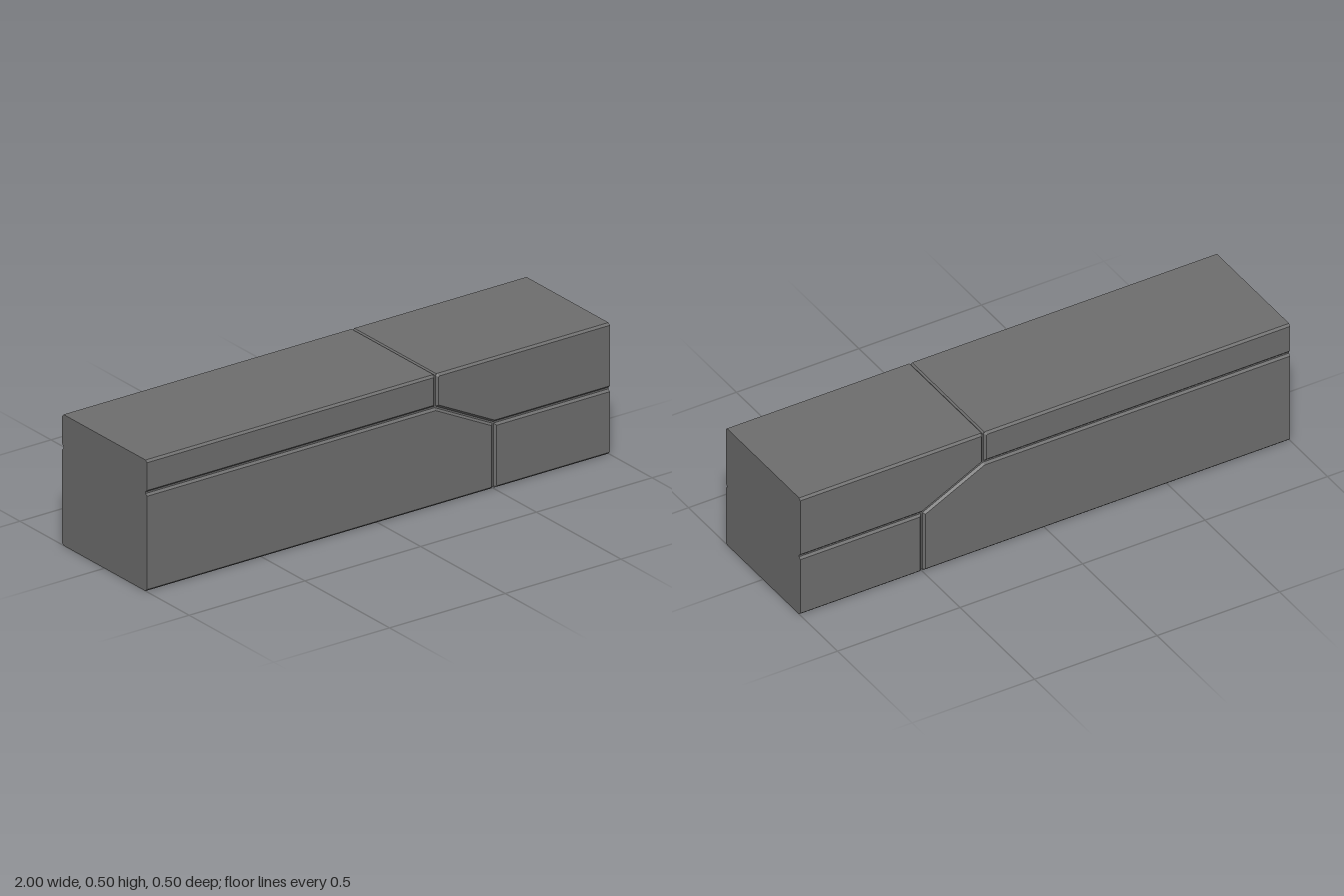
import * as THREE from 'three';

const DEPTH = 0.25;   // half thickness in z
const BEVEL = 0.008;  // chamfer and groove depth
const NICK = 0.006;   // cut where a seam crosses the top or bottom

// Moves each edge of a counter-clockwise polygon inward: ends stay, outer edges by a, seams by b
function inset(points, a, b) {
  const lines = points.map((p, i) => {
    const q = points[(i + 1) % points.length];
    const dir = q.clone().sub(p).normalize();
    const isEnd = Math.abs(p.x) === 1 && p.x === q.x;
    const isOuter = p.y === q.y && (p.y === 0 || p.y === 0.5);
    const d = isEnd ? 0 : isOuter ? a : b;
    return { dir, at: new THREE.Vector2(p.x - dir.y * d, p.y + dir.x * d) };
  });
  return lines.map((l, i) => {
    const k = lines[(i + lines.length - 1) % lines.length];
    const t = l.at.clone().sub(k.at).cross(l.dir) / k.dir.cross(l.dir);
    return k.at.clone().addScaledVector(k.dir, t);
  });
}

// A block with chamfered front and back rims and a narrow flat groove floor along the seams
function blockGeometry(corners) {
  const points = corners.map(([x, y]) => new THREE.Vector2(x, y));
  const n = points.length;
  const face = inset(points, BEVEL, 0.011);
  const floor = inset(points, 0, 0.003);
  const rim = DEPTH - BEVEL;
  const loops = [
    [face, -DEPTH], [floor, -rim], [points, -rim],
    [points, rim], [floor, rim], [face, DEPTH],
  ];
  const positions = [];
  const index = [];
  for (const [loop, z] of loops) for (const p of loop) positions.push(p.x, p.y, z);
  for (let k = 0; k < loops.length - 1; k++) {
    for (let i = 0; i < n; i++) {
      const a = k * n + i, b = k * n + (i + 1) % n;
      index.push(a, b, b + n, a, b + n, a + n);
    }
  }
  // Front and back caps
  const last = (loops.length - 1) * n;
  for (const [a, b, c] of THREE.ShapeUtils.triangulateShape(face, [])) {
    index.push(last + a, last + b, last + c, c, b, a);
  }
  const geometry = new THREE.BufferGeometry();
  geometry.setAttribute('position', new THREE.Float32BufferAttribute(positions, 3));
  geometry.setIndex(index);
  const flat = geometry.toNonIndexed();
  flat.computeVertexNormals();
  return flat;
}

export function createModel() {
  const group = new THREE.Group();
  group.name = 'scarfedBeam';
  const material = new THREE.MeshStandardMaterial({ color: 0x6e6e6e });

  // Outlines in the front plane, counter-clockwise
  const blocks = {
    mainBlock: [[-1, 0], [0.5 - NICK, 0], [0.5, NICK], [0.5, 0.25], [0.25, 0.375], [-1, 0.375]],
    upperStrip: [[-1, 0.375], [0.25, 0.375], [0.25, 0.5 - NICK], [0.25 - NICK, 0.5], [-1, 0.5]],
    upperEndBlock: [[0.25, 0.375], [0.5, 0.25], [1, 0.25], [1, 0.5], [0.25 + NICK, 0.5], [0.25, 0.5 - NICK]],
    lowerEndBlock: [[0.5 + NICK, 0], [1, 0], [1, 0.25], [0.5, 0.25], [0.5, NICK]],
  };
  for (const [name, corners] of Object.entries(blocks)) {
    const mesh = new THREE.Mesh(blockGeometry(corners), material);
    mesh.name = name;
    group.add(mesh);
  }
  return group;
}
